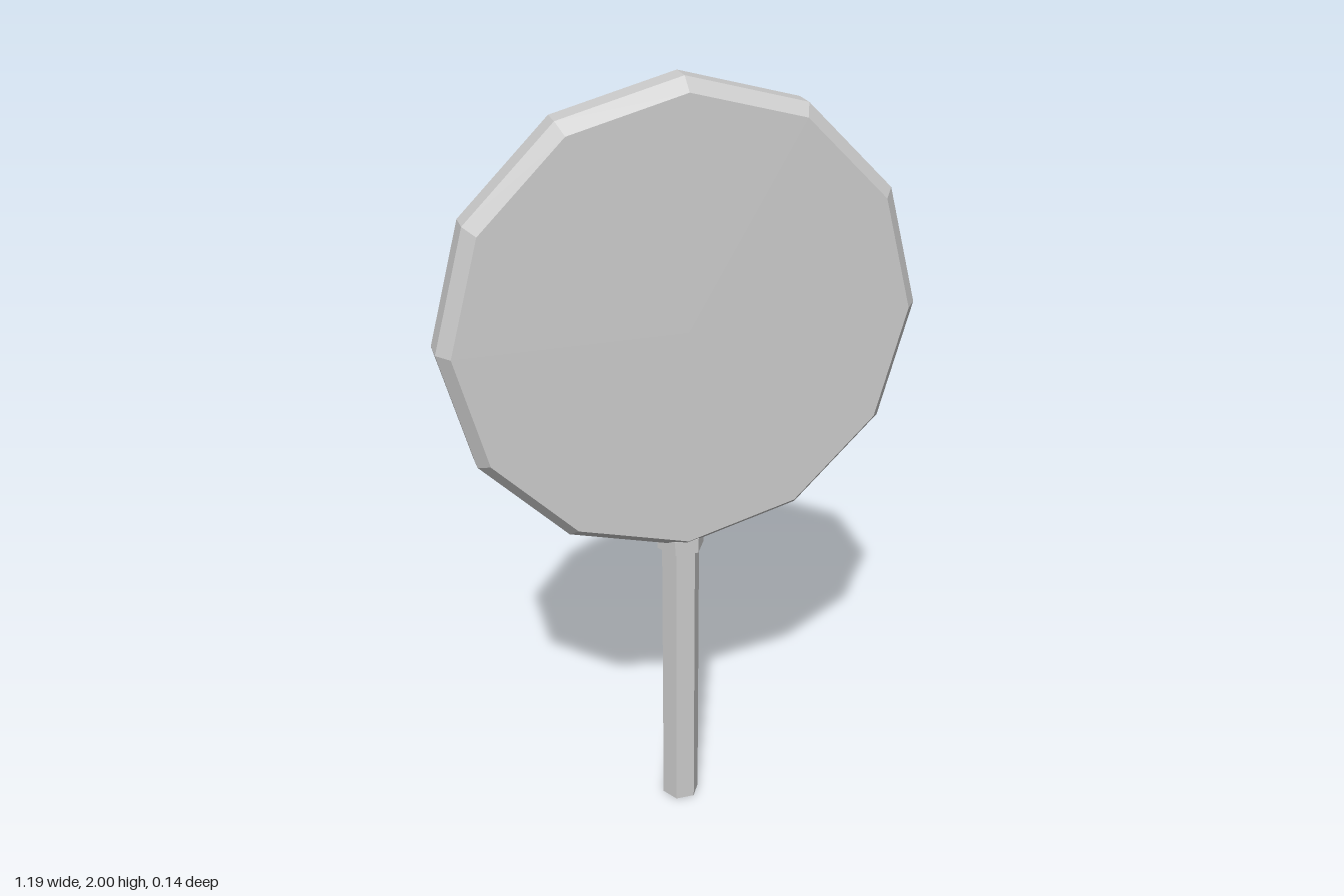
import * as THREE from 'three';

const material = new THREE.MeshStandardMaterial({ color: 0xcccccc, flatShading: true });

function addPart(group, name, geometry) {
  const mesh = new THREE.Mesh(geometry, material);
  mesh.name = name;
  group.add(mesh);
  return mesh;
}

// Upright six-sided prism with corners pointing left and right
function hexPrism(radius, bottom, top) {
  return new THREE.CylinderGeometry(radius, radius, top - bottom, 6)
    .rotateY(Math.PI / 2)
    .translate(0, (bottom + top) / 2, 0);
}

export function createModel() {
  const group = new THREE.Group();
  group.name = 'lollipop';

  // Twelve-sided disc with a bevelled rim, turned to face the front
  const profile = [
    [0, -0.068], [0.567, -0.068], [0.597, -0.03],
    [0.597, 0.03], [0.567, 0.068], [0, 0.068],
  ].map(([r, h]) => new THREE.Vector2(r, h));
  const disc = new THREE.LatheGeometry(profile, 12)
    .rotateX(Math.PI / 2)
    .translate(0, 1.403, 0);
  addPart(group, 'candyDisc', disc);

  // Collar where the stick enters the disc
  addPart(group, 'collar', hexPrism(0.062, 0.79, 0.83));

  // Stick
  addPart(group, 'stick', hexPrism(0.05, 0, 0.82));

  return group;
}
